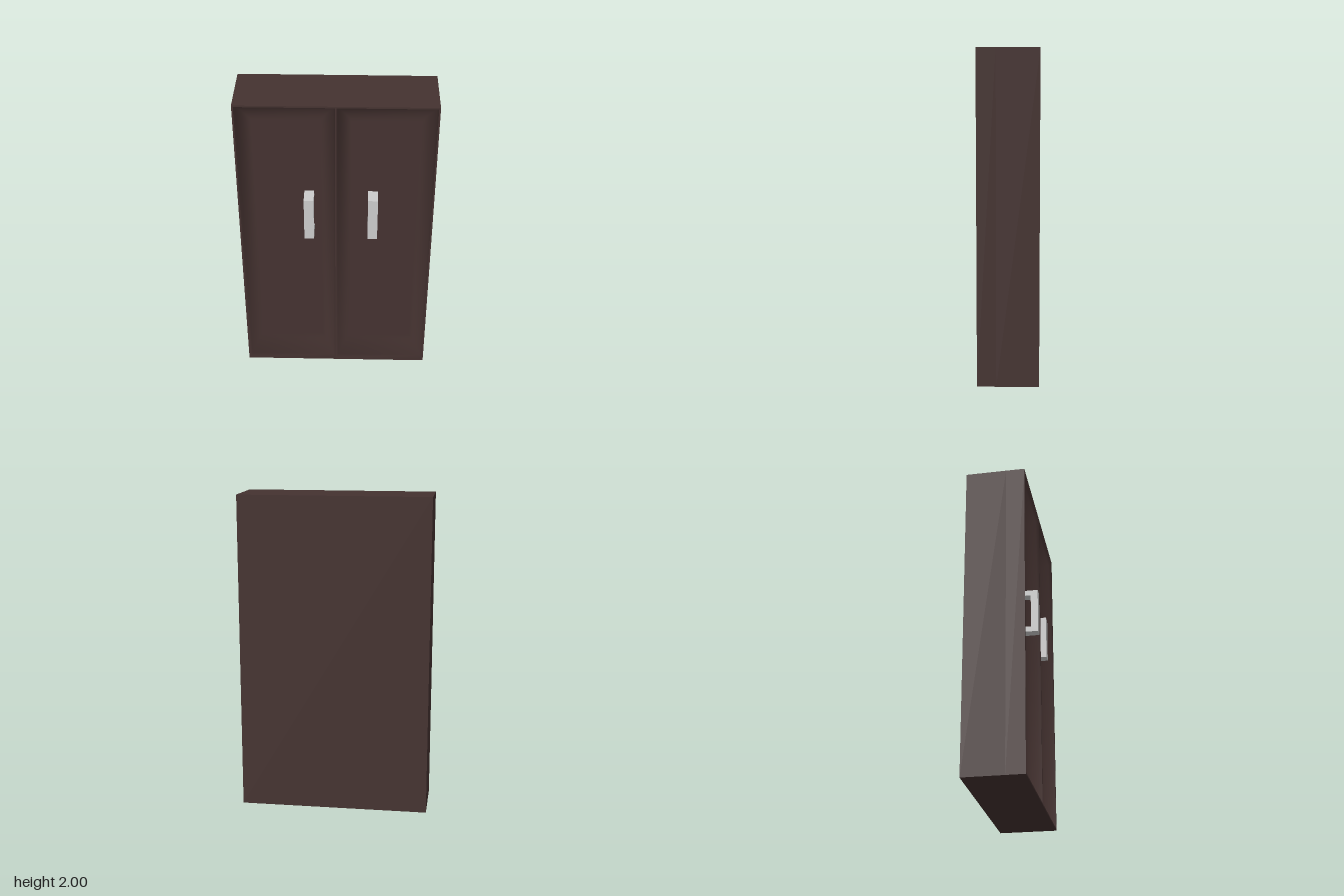
import * as THREE from 'three';

const X0 = -0.595, X1 = 0.595, H = 2, BACK = -0.195, FRONT = 0.175, PANEL = 0.08, RIM = 0.01;
const wood = new THREE.MeshStandardMaterial({ color: 0x443230 });
const metal = new THREE.MeshStandardMaterial({ color: 0xcccccc });

function rect(PathType, x0, y0, x1, y1) {
  const p = new PathType();
  p.moveTo(x0, y0);
  p.lineTo(x1, y0);
  p.lineTo(x1, y1);
  p.lineTo(x0, y1);
  p.closePath();
  return p;
}

function add(parent, name, geometry, material) {
  const mesh = new THREE.Mesh(geometry, material);
  mesh.name = name;
  parent.add(mesh);
  return mesh;
}

// Dished door: nested rectangles sinking in a smooth curve to a flat panel
function doorGeometry(x0, x1, y0, y1) {
  const steps = 8, slopeX = 0.085, slopeY = 0.14;
  const pos = [], index = [];
  for (let i = 0; i <= steps; i++) {
    const t = i / steps;
    const z = FRONT - (FRONT - PANEL) * (1 - (1 - t) ** 2);
    const a = x0 + slopeX * t, b = x1 - slopeX * t;
    const c = y0 + slopeY * t, d = y1 - slopeY * t;
    pos.push(a, c, z, b, c, z, b, d, z, a, d, z);
    if (i === 0) continue;
    for (let k = 0; k < 4; k++) {
      const n = (k + 1) % 4, o = (i - 1) * 4, q = i * 4;
      index.push(o + k, o + n, q + n, o + k, q + n, q + k);
    }
  }
  const e = steps * 4;
  index.push(e, e + 1, e + 2, e, e + 2, e + 3);
  const g = new THREE.BufferGeometry();
  g.setAttribute('position', new THREE.Float32BufferAttribute(pos, 3));
  g.setIndex(index);
  g.computeVertexNormals();
  return g;
}

// C-shaped pull: side profile extruded across its width
function handleGeometry(width, front) {
  const y0 = 1.06, y1 = 1.35, arm = 0.035, bar = front - 0.045, root = PANEL - 0.01;
  const s = new THREE.Shape();
  [[root, y0], [front, y0], [front, y1], [root, y1], [root, y1 - arm],
    [bar, y1 - arm], [bar, y0 + arm], [root, y0 + arm]]
    .forEach(([z, y], i) => (i ? s.lineTo(-z, y) : s.moveTo(-z, y)));
  const g = new THREE.ExtrudeGeometry(s, { depth: width, bevelEnabled: false });
  g.rotateY(Math.PI / 2);
  return g;
}

export function createModel() {
  const group = new THREE.Group();
  group.name = 'cabinet';

  // Solid back part of the carcass
  const split = 0.06;
  const body = add(group, 'carcass', new THREE.BoxGeometry(X1 - X0, H, split - BACK), wood);
  body.position.set(0, H / 2, (split + BACK) / 2);

  // Thin front frame with an opening for each door
  const openings = [[X0 + RIM, -0.004], [0.004, X1 - RIM]];
  const frame = rect(THREE.Shape, X0, 0, X1, H);
  for (const [a, b] of openings) frame.holes.push(rect(THREE.Path, a, RIM, b, H - RIM));
  const frameGeo = new THREE.ExtrudeGeometry(frame, { depth: FRONT - split, bevelEnabled: false });
  add(group, 'frontFrame', frameGeo, wood).position.z = split;

  // Doors
  openings.forEach(([a, b], i) => {
    add(group, i ? 'leftDoor' : 'rightDoor', doorGeometry(a, b, RIM, H - RIM), wood);
  });

  // Handles
  add(group, 'rightHandle', handleGeometry(0.06, 0.19), metal).position.x = -0.195;
  add(group, 'leftHandle', handleGeometry(0.06, 0.184), metal).position.x = 0.196;

  return group;
}
